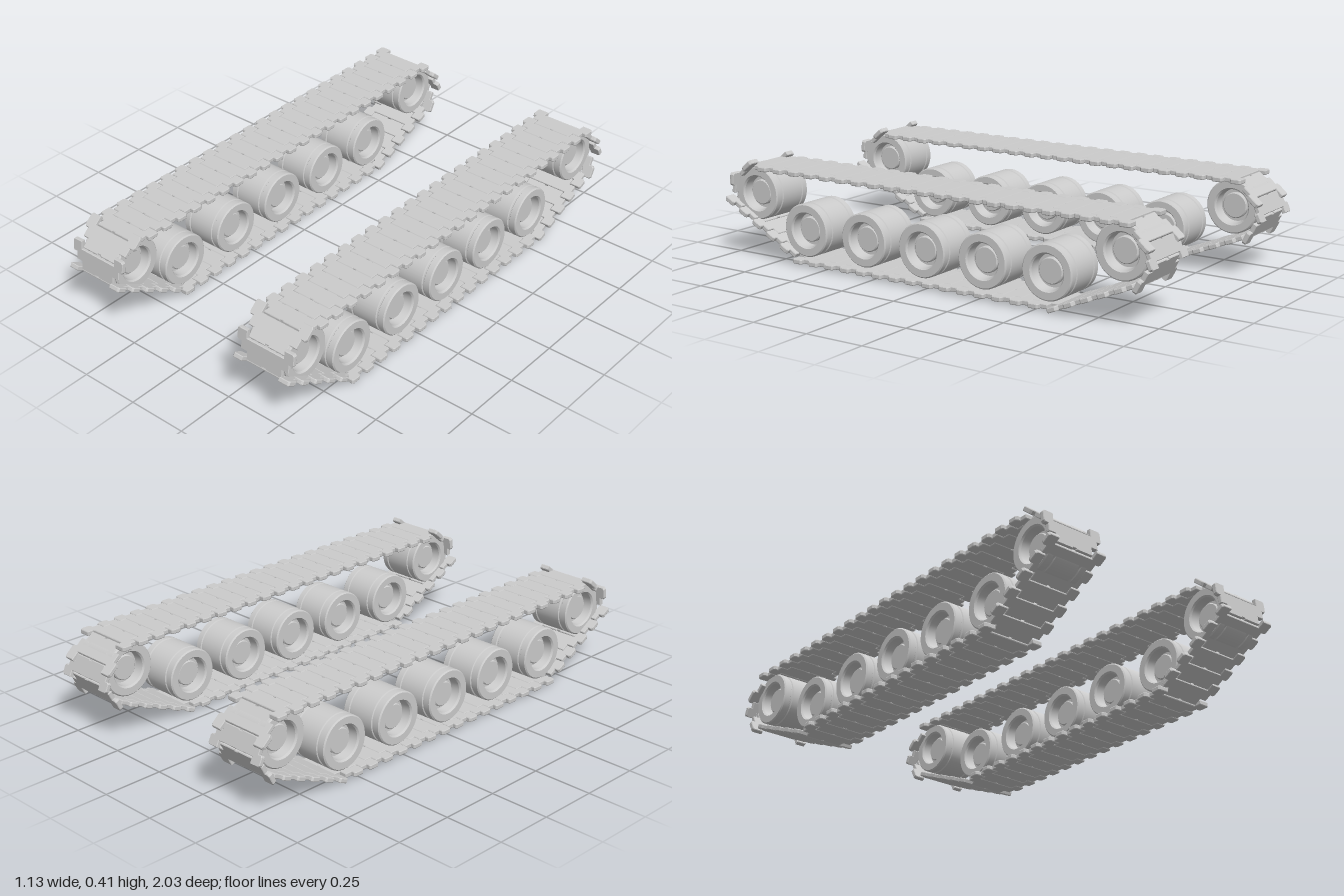
import * as THREE from 'three';
import { toCreasedNormals } from 'three/addons/utils/BufferGeometryUtils.js';

const PITCH = 0.0813;
const TRACK_X = 0.432;
const grey = new THREE.MeshStandardMaterial({ color: 0xcccccc });

// Track plate in plan: broad body, central tongue ahead, side lugs reaching back
function linkGeometry() {
  const half = [
    [0.008, 0.076], [0.008, 0.08], [0.083, 0.08], [0.085, 0.078], [0.085, 0.048],
    [0.113, 0.048], [0.115, 0.046], [0.115, 0.018], [0.129, 0.018], [0.135, 0.011],
    [0.135, -0.023], [0.129, -0.03], [0.088, -0.03], [0.088, 0],
  ];
  const mirrored = half.map(([x, y]) => [-x, y]).reverse();
  const shape = new THREE.Shape([...half, ...mirrored].map(([x, y]) => new THREE.Vector2(x, y)));
  const geo = new THREE.ExtrudeGeometry(shape, {
    depth: 0.013, bevelEnabled: true, bevelThickness: 0.003,
    bevelSize: 0.002, bevelOffset: -0.002, bevelSegments: 1,
  });
  geo.translate(0, 0, -0.0065);
  return geo;
}

// Wide road wheel, dished on both faces around a raised hub
function wheelGeometry() {
  const side = [
    [0, 0.068], [0.048, 0.068], [0.052, 0.064], [0.052, 0.05], [0.066, 0.05],
    [0.07, 0.088], [0.076, 0.095], [0.105, 0.095], [0.11, 0.09],
    [0.11, 0.066], [0.106, 0.063], [0.106, 0.057], [0.11, 0.054],
  ];
  const profile = [
    ...side.map(([r, h]) => new THREE.Vector2(r, -h)),
    ...side.map(([r, h]) => new THREE.Vector2(r, h)).reverse(),
  ];
  const geo = new THREE.LatheGeometry(profile, 40);
  geo.rotateZ(Math.PI / 2);
  return toCreasedNormals(geo, 0.5);
}

// Corners of the track loop as [z, y]
const LOOP = [
  [-0.88, 0.371], [0.9, 0.371], [0.978, 0.305], [0.989, 0.215], [0.63, 0.011],
  [-0.59, 0.011], [-0.945, 0.157], [-0.988, 0.24], [-0.957, 0.305],
];

// Wheel centres as [z, y]
const ROAD_WHEELS = [0.617, 0.32, 0.035, -0.25, -0.54].map((z) => [z, 0.135]);
const END_WHEELS = [[0.875, 0.258], [-0.856, 0.26]];

function buildTrack(linkGeo, wheelGeo) {
  const track = new THREE.Group();
  const links = new THREE.Group();
  links.name = 'trackLinks';
  const across = new THREE.Vector3(1, 0, 0);

  LOOP.forEach(([z, y], i) => {
    const [z2, y2] = LOOP[(i + 1) % LOOP.length];
    const start = new THREE.Vector3(0, y, z);
    const run = new THREE.Vector3(0, y2 - y, z2 - z);
    const count = Math.max(1, Math.round(run.length() / PITCH));
    const stretch = run.length() / count / PITCH;
    const along = run.clone().normalize();
    const normal = across.clone().cross(along);
    const basis = new THREE.Matrix4().makeBasis(across, along, normal);
    for (let k = 0; k < count; k++) {
      const link = new THREE.Mesh(linkGeo, grey);
      link.name = 'trackLink';
      link.quaternion.setFromRotationMatrix(basis);
      link.scale.y = stretch;
      link.position.copy(start).addScaledVector(run, k / count);
      links.add(link);
    }
  });
  track.add(links);

  const addWheel = (name) => ([z, y]) => {
    const wheel = new THREE.Mesh(wheelGeo, grey);
    wheel.name = name;
    wheel.position.set(0, y, z);
    track.add(wheel);
  };
  ROAD_WHEELS.forEach(addWheel('roadWheel'));
  END_WHEELS.forEach(addWheel('endWheel'));
  return track;
}

export function createModel() {
  const model = new THREE.Group();
  model.name = 'trackPair';
  const linkGeo = linkGeometry();
  const wheelGeo = wheelGeometry();
  for (const side of [1, -1]) {
    const track = buildTrack(linkGeo, wheelGeo);
    track.name = side > 0 ? 'leftTrack' : 'rightTrack';
    track.position.x = side * TRACK_X;
    model.add(track);
  }
  return model;
}
